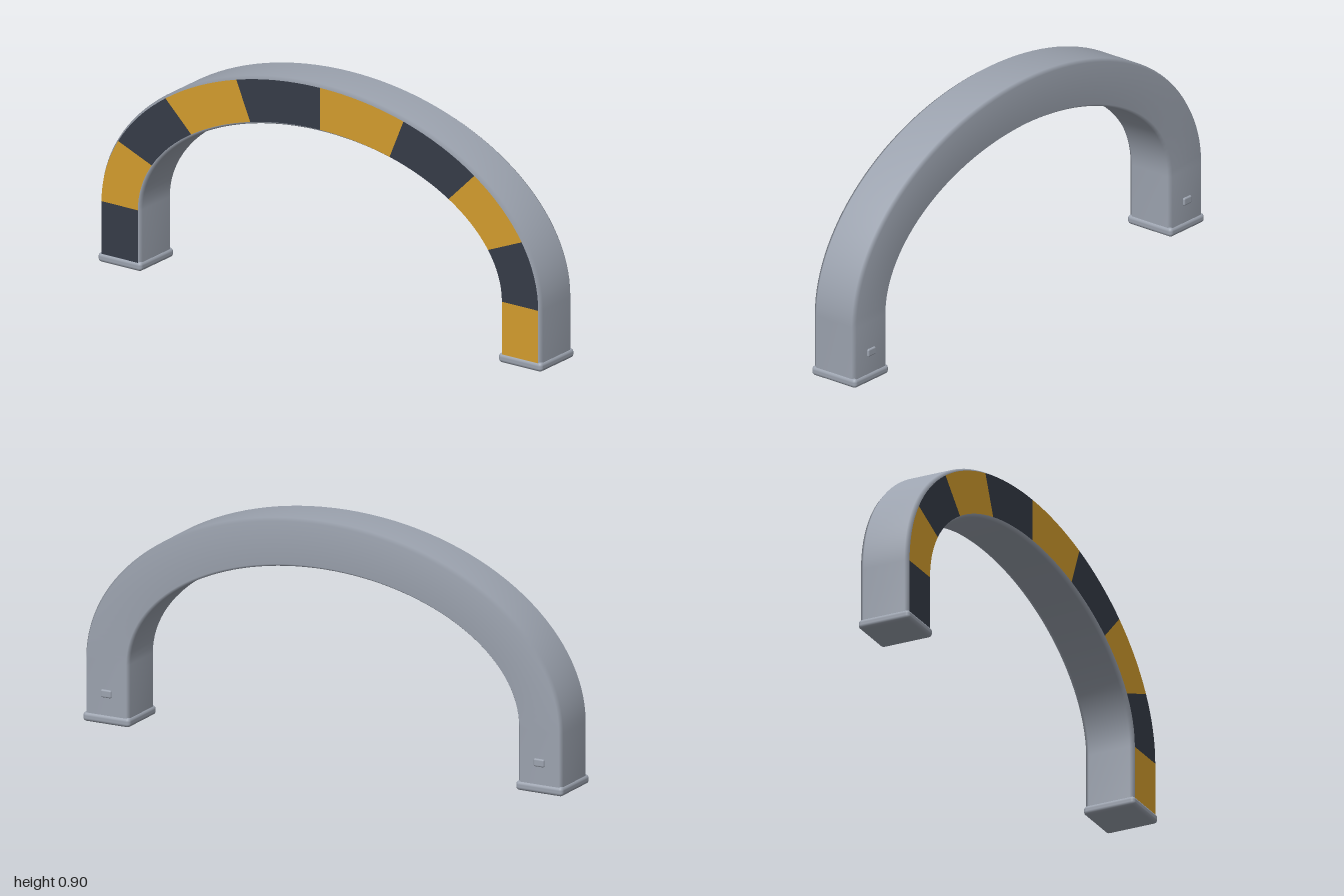
import * as THREE from 'three';
import { RoundedBoxGeometry } from 'three/addons/geometries/RoundedBoxGeometry.js';

const SPRING = 0.237;                     // height where the legs meet the arch
const OUTER = { rx: 0.994, ry: 0.663 };
const INNER = { rx: 0.81, ry: 0.48 };
const DEPTH = 0.099;                      // half depth of the body
const RIM = 0.055, BEVEL = 0.015;         // bevel across the width (fraction) and in depth

// A station is the pair of inner and outer edge points on the arch
function arcStation(angle) {
  const edge = (e) => new THREE.Vector2(-e.rx * Math.cos(angle), SPRING + e.ry * Math.sin(angle));
  return { inner: edge(INNER), outer: edge(OUTER) };
}

function legStation(side, y) {
  return {
    inner: new THREE.Vector2(side * INNER.rx, y),
    outer: new THREE.Vector2(side * OUTER.rx, y),
  };
}

function arc(from, to, steps) {
  return Array.from({ length: steps + 1 }, (_, i) => arcStation(from + ((to - from) * i) / steps));
}

// Sweeps a section of [fraction from inner to outer, z] points through the stations
function sweep(stations, section, closed) {
  const n = section.length, position = [], index = [];
  for (const s of stations) {
    for (const [u, z] of section) {
      const p = s.inner.clone().lerp(s.outer, u);
      position.push(p.x, p.y, z);
    }
  }
  for (let i = 0; i < stations.length - 1; i++) {
    for (let k = 0; k < (closed ? n : n - 1); k++) {
      const a = i * n + k, b = i * n + ((k + 1) % n);
      index.push(a, a + n, b, b, a + n, b + n);
    }
  }
  const geometry = new THREE.BufferGeometry();
  geometry.setAttribute('position', new THREE.Float32BufferAttribute(position, 3));
  geometry.setIndex(index);
  geometry.computeVertexNormals();
  return geometry;
}

export function createModel() {
  const group = new THREE.Group();
  group.name = 'stripedArch';

  const material = (name, color) => {
    const m = new THREE.MeshStandardMaterial({ color });
    m.name = name;
    return m;
  };
  const grey = material('grey', 0x9ca3af);
  const gold = material('gold', 0xd49d2e);
  const dark = material('darkSlate', 0x363c48);

  const add = (name, geometry, mat, x = 0, y = 0, z = 0) => {
    const mesh = new THREE.Mesh(geometry, mat);
    mesh.name = name;
    mesh.position.set(x, y, z);
    group.add(mesh);
  };

  // Arch body with bevelled corners
  const d = DEPTH, c = DEPTH - BEVEL;
  const section = [
    [1, c], [1, -c], [1 - RIM, -d], [RIM, -d],
    [0, -c], [0, c], [RIM, d], [1 - RIM, d],
  ];
  const path = [legStation(-1, 0.015), ...arc(0, Math.PI, 64), legStation(1, 0.015)];
  add('archBody', sweep(path, section, true), grey);

  // Alternating panels on the front: a leg, eight arch pieces, a leg
  const face = [[RIM, d + 0.001], [1 - RIM, d + 0.001]];
  const panels = [[legStation(-1, 0.03), legStation(-1, SPRING)]];
  for (let i = 0; i < 8; i++) panels.push(arc((i * Math.PI) / 8, ((i + 1) * Math.PI) / 8, 8));
  panels.push([legStation(1, SPRING), legStation(1, 0.03)]);
  panels.forEach((stations, i) => {
    add(`frontPanel${i + 1}`, sweep(stations, face, false), i % 2 ? gold : dark);
  });

  // Rounded foot and small rear button on each leg
  for (const [side, label] of [[1, 'left'], [-1, 'right']]) {
    const x = side * 0.902;
    add(`${label}Foot`, new RoundedBoxGeometry(0.196, 0.036, 0.21, 4, 0.014), grey, x, 0.018, 0);
    add(`${label}RearButton`, new RoundedBoxGeometry(0.044, 0.03, 0.02, 3, 0.006), grey, x, 0.117, -0.096);
  }

  return group;
}
